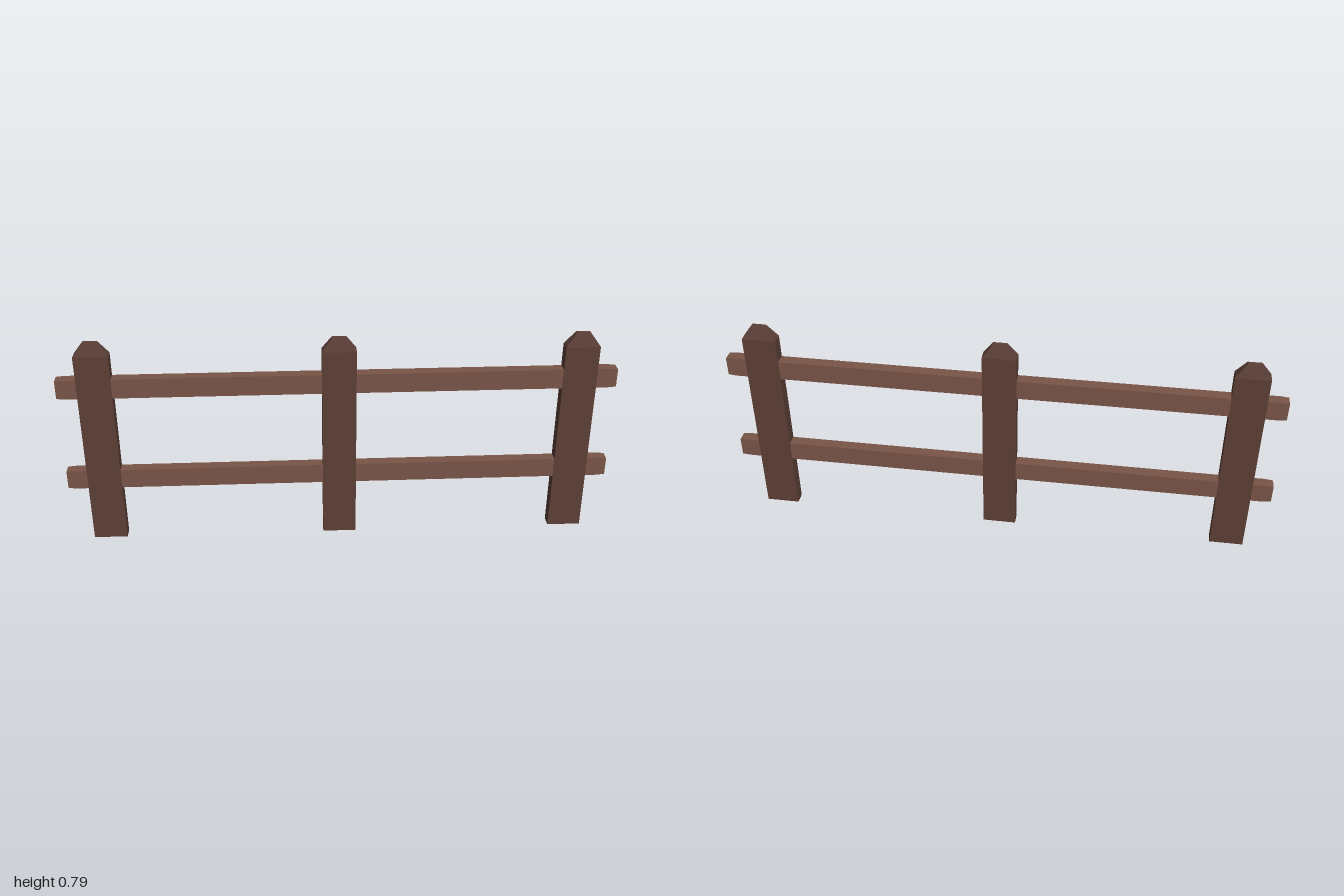
import * as THREE from 'three';

const postMaterial = new THREE.MeshStandardMaterial({ color: 0x5d4037, flatShading: true });
const railMaterial = new THREE.MeshStandardMaterial({ color: 0x795548, flatShading: true });

// Post: a flat board whose top narrows on all four sides
function createPost(x) {
  const width = 0.123, depth = 0.044, shoulder = 0.74, height = 0.79;
  const geometry = new THREE.BoxGeometry(width, height, depth, 1, 2, 1);
  geometry.translate(0, height / 2, 0);
  const p = geometry.attributes.position;
  for (let i = 0; i < p.count; i++) {
    const y = p.getY(i);
    if (y > height * 0.75) {
      p.setX(i, p.getX(i) * 0.4);
      p.setZ(i, p.getZ(i) * 0.38);
    } else if (y > height * 0.25) {
      p.setY(i, shoulder);
    }
  }
  geometry.computeVertexNormals();
  const post = new THREE.Mesh(geometry, postMaterial);
  post.name = 'post';
  post.position.x = x;
  return post;
}

// Rail: a long beam with slightly narrowed ends
function createRail(y, name) {
  const length = 2, bodyEnd = 0.97;
  const geometry = new THREE.BoxGeometry(length, 0.073, 0.042, 3, 1, 1);
  const p = geometry.attributes.position;
  for (let i = 0; i < p.count; i++) {
    const x = p.getX(i);
    if (Math.abs(x) > 0.9) {
      p.setY(i, p.getY(i) * 0.93);
      p.setZ(i, p.getZ(i) * 0.95);
    } else {
      p.setX(i, Math.sign(x) * bodyEnd);
    }
  }
  geometry.computeVertexNormals();
  const rail = new THREE.Mesh(geometry, railMaterial);
  rail.name = name;
  rail.position.y = y;
  return rail;
}

export function createModel() {
  const fence = new THREE.Group();
  fence.name = 'fence';
  for (const x of [-0.865, 0, 0.865]) fence.add(createPost(x));
  fence.add(createRail(0.617, 'upperRail'), createRail(0.252, 'lowerRail'));
  return fence;
}
